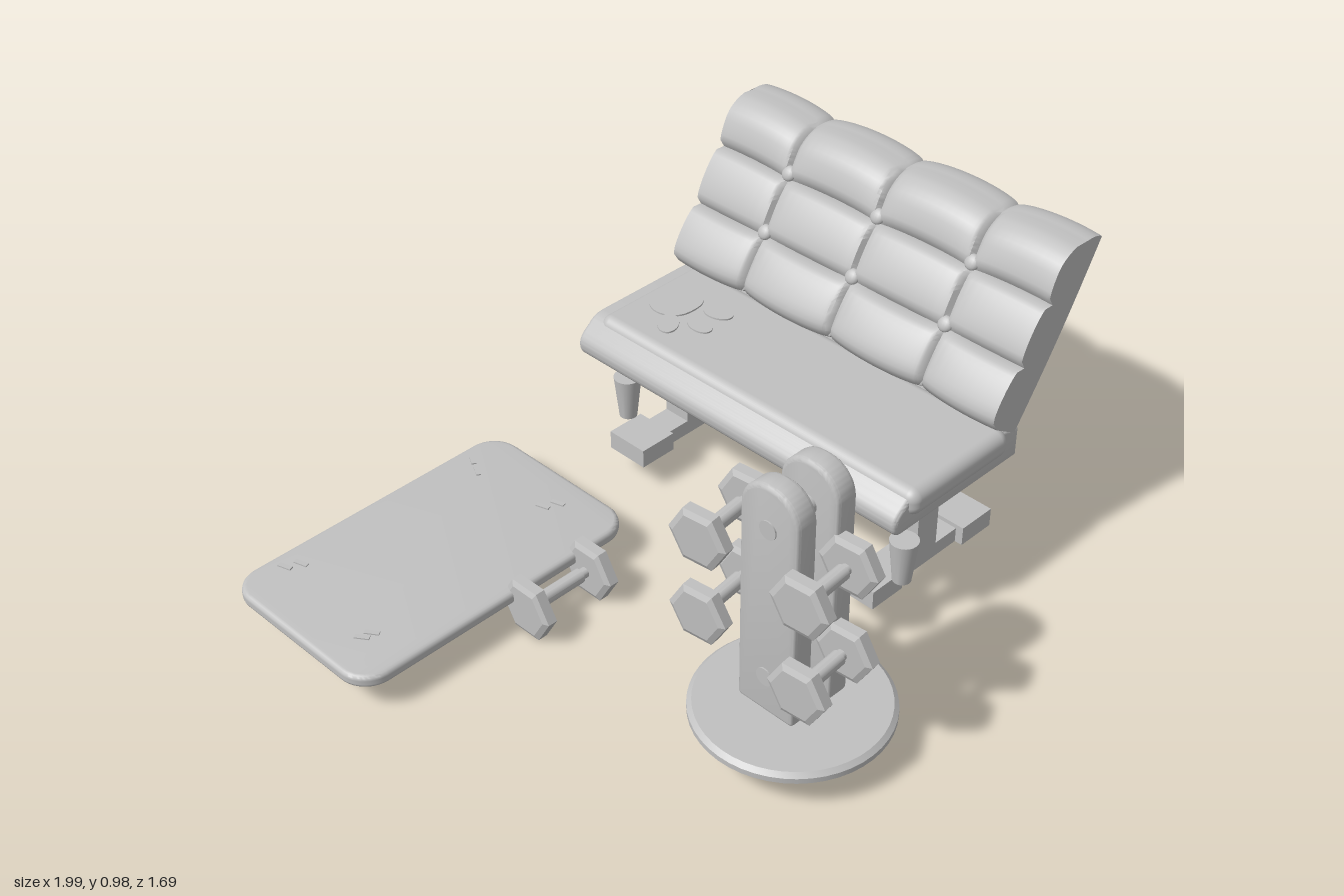
import * as THREE from 'three';
import { toCreasedNormals, mergeVertices } from 'three/addons/utils/BufferGeometryUtils.js';
import { RoundedBoxGeometry } from 'three/addons/geometries/RoundedBoxGeometry.js';

export function createModel() {
  const root = new THREE.Group();
  const grey = new THREE.MeshStandardMaterial({ color: 0xc0c0c0 });
  grey.name = 'plain grey';

  const add = (name, geo, x = 0, y = 0, z = 0, parent = root) => {
    const m = new THREE.Mesh(geo, grey);
    m.name = name;
    m.position.set(x, y, z);
    parent.add(m);
    return m;
  };
  const group = (name) => {
    const g = new THREE.Group();
    g.name = name;
    root.add(g);
    return g;
  };
  const crease = (geo, angle = 0.6) => toCreasedNormals(geo, angle);
  const box = (name, x0, x1, y0, y1, z0, z1, parent) =>
    add(name, new THREE.BoxGeometry(x1 - x0, y1 - y0, z1 - z0), (x0 + x1) / 2, (y0 + y1) / 2, (z0 + z1) / 2, parent);

  // Extrusion with a rounded edge, centred along its depth
  const slab = (shape, depth, bevel) => {
    const g = new THREE.ExtrudeGeometry(shape, {
      depth: depth - 2 * bevel, bevelEnabled: true, bevelThickness: bevel, bevelSize: bevel,
      bevelOffset: -bevel, bevelSegments: 3, curveSegments: 10,
    });
    g.translate(0, 0, -(depth - 2 * bevel) / 2);
    return crease(g, 0.7);
  };
  // Rounded rectangle with separate top and bottom corner radii
  const roundRect = (w, h, top, bottom) => {
    const s = new THREE.Shape(), x = w / 2, y = h / 2;
    s.moveTo(-x + bottom, -y);
    s.lineTo(x - bottom, -y);
    s.absarc(x - bottom, -y + bottom, bottom, -Math.PI / 2, 0);
    s.lineTo(x, y - top);
    s.absarc(x - top, y - top, top, 0, Math.PI / 2);
    s.lineTo(-x + top, y);
    s.absarc(-x + top, y - top, top, Math.PI / 2, Math.PI);
    s.lineTo(-x, -y + bottom);
    s.absarc(-x + bottom, -y + bottom, bottom, Math.PI, Math.PI * 1.5);
    return s;
  };

  // Exercise mat with small raised flecks near its corners
  const mat = group('mat');
  add('matPad', slab(roundRect(0.97, 0.59, 0.09, 0.09), 0.04, 0.014).rotateX(-Math.PI / 2), -0.515, 0.105, -0.553, mat);
  const flecks = [[-0.85, -0.79], [-0.81, -0.77], [-0.17, -0.79], [-0.195, -0.74],
    [-0.17, -0.48], [-0.13, -0.46], [-0.88, -0.41], [-0.85, -0.405]];
  flecks.forEach(([x, z], i) => {
    const f = add('matFleck', new THREE.BoxGeometry(0.014, 0.006, 0.042), x, 0.126, z, mat);
    f.rotation.y = [0.3, -0.5, 0.3, 0.6][i >> 1];
  });

  // Hexagonal dumbbell lying along x
  const dumbbell = (x, y, z, yaw, sep, r) => {
    const g = group('dumbbell');
    g.position.set(x, y, z);
    g.rotation.y = yaw;
    const w = 0.023, c = 0.008;
    const profile = [[0, -w], [r - 0.018, -w], [r, -w + c], [r, w - c], [r - 0.018, w], [0, w]]
      .map((p) => new THREE.Vector2(...p));
    for (const s of [-1, 1]) {
      const head = crease(new THREE.LatheGeometry(profile, 6), 0.2).rotateZ(Math.PI / 2);
      add('weight', head, s * sep / 2, 0, 0, g);
    }
    add('bar', crease(new THREE.CylinderGeometry(0.016, 0.016, sep, 16)).rotateZ(Math.PI / 2), 0, 0, 0, g);
    add('grip', crease(new THREE.CylinderGeometry(0.022, 0.022, sep * 0.62, 16)).rotateZ(Math.PI / 2), 0, 0, 0, g);
  };
  dumbbell(-0.34, 0.083, -0.22, 0, 0.23, 0.095);
  for (const y of [0.63, 0.35]) dumbbell(-0.292, y, 0.703, 0.08, 0.193, 0.09);
  for (const y of [0.645, 0.4]) dumbbell(-0.292, y, 0.364, 0.11, 0.197, 0.09);

  // Rack: round base, two uprights and the rods joining them
  const rack = group('dumbbellRack');
  const disc = [[0, -0.02], [0.262, -0.02], [0.275, -0.008], [0.275, 0.008], [0.262, 0.02], [0, 0.022]]
    .map((p) => new THREE.Vector2(...p));
  add('rackBase', crease(new THREE.LatheGeometry(disc, 48)), -0.245, 0.108, 0.564, rack);
  for (const x of [-0.32, -0.18]) {
    add('upright', slab(roundRect(0.19, 0.72, 0.088, 0.014), 0.07, 0.012).rotateY(Math.PI / 2), x, 0.52, 0.565, rack);
  }
  for (const y of [0.755, 0.28]) {
    add('rod', crease(new THREE.CylinderGeometry(0.027, 0.027, 0.218, 20)).rotateZ(Math.PI / 2), -0.25, y, 0.565, rack);
  }

  // Bench seat: long moulded base with a soft pad on top
  const bench = group('bench');
  const seat = new THREE.Shape();
  seat.moveTo(0.21, 0.375);
  seat.lineTo(0.705, 0.375);
  seat.lineTo(0.705, 0.468);
  seat.quadraticCurveTo(0.68, 0.49, 0.6, 0.492);
  seat.lineTo(0.28, 0.492);
  seat.quadraticCurveTo(0.245, 0.49, 0.225, 0.467);
  seat.quadraticCurveTo(0.185, 0.44, 0.185, 0.415);
  seat.quadraticCurveTo(0.185, 0.38, 0.21, 0.375);
  add('seatBase', slab(seat, 1.22, 0.012), 0, 0, -0.09, bench);
  add('seatPad', new RoundedBoxGeometry(0.41, 0.085, 1.21, 5, 0.035), 0.44, 0.4585, -0.065, bench);

  // Paw emblem lying on the seat
  const paw = new THREE.Shape();
  paw.moveTo(0, -0.066);
  paw.bezierCurveTo(0.06, -0.09, 0.1, -0.03, 0.078, 0.02);
  paw.bezierCurveTo(0.06, 0.06, 0.03, 0.065, 0, 0.065);
  paw.bezierCurveTo(-0.03, 0.065, -0.06, 0.06, -0.078, 0.02);
  paw.bezierCurveTo(-0.1, -0.03, -0.06, -0.09, 0, -0.066);
  add('pawPad', new THREE.ExtrudeGeometry(paw, { depth: 0.005, bevelEnabled: false }).rotateX(Math.PI / 2),
    0.452, 0.506, -0.55, bench);
  for (const [x, z, a] of [[0.35, -0.49, -0.9], [0.41, -0.42, -0.2], [0.492, -0.425, 0.2]]) {
    const toe = add('pawToe', crease(new THREE.CylinderGeometry(1, 1, 0.005, 24)), x, 0.5035, z, bench);
    toe.scale.set(0.032, 1, 0.048);
    toe.rotation.y = a;
  }

  // Tufted backrest: a box reshaped along its slope u and outward normal n
  const U = [0.53, 0.848], N = [-0.848, 0.53], P = [0.69, 0.475];
  const place = (u, n) => [P[0] + U[0] * u + N[0] * n, P[1] + U[1] * u + N[1] * n];
  const back = new THREE.BoxGeometry(1, 1, 1, 6, 36, 122);
  back.deleteAttribute('normal');
  back.deleteAttribute('uv');
  const pos = back.attributes.position;
  for (let i = 0; i < pos.count; i++) {
    const s = 0.5 - pos.getX(i), t = pos.getY(i) + 0.5, z = -0.7 + 1.22 * (pos.getZ(i) + 0.5);
    const b = Math.sqrt(Math.abs(Math.sin(Math.PI * (z + 0.43) / 0.34)));
    const r = Math.sqrt(Math.abs(Math.sin(Math.PI * t * 3)));
    const top = Math.max(0, (t - 0.82) / 0.18), low = Math.max(0, (0.08 - t) / 0.08);
    const thick = (0.105 + 0.045 * Math.sqrt(b * r)) * (1 - 0.32 * top * top - 0.08 * low * low);
    const lo = -0.018 * b, hi = 0.55 + 0.024 * b - 0.03 * s * s;
    const [x, y] = place(lo + t * (hi - lo), s * thick - 0.012 * b * Math.sin(Math.PI * t));
    pos.setXYZ(i, x, y, z);
  }
  add('backrest', crease(mergeVertices(back, 1e-5), 0.8), 0, 0, 0, bench);
  for (const z of [-0.43, -0.09, 0.25]) {
    for (const u of [0.183, 0.367]) {
      const [x, y] = place(u, 0.113);
      const button = add('button', new THREE.SphereGeometry(0.024, 16, 10), x, y, z, bench);
      button.scale.x = 0.6;
      button.rotation.z = Math.atan2(N[1], N[0]);
    }
  }

  // Legs: a post on a crossbar with a block foot at each end
  for (const z of [0.385, -0.513]) {
    box('legPost', 0.405, 0.49, 0.09, 0.38, z - 0.045, z + 0.045, bench);
    box('legCrossbar', 0.3, 0.6, 0.085, 0.132, z - 0.045, z + 0.045, bench);
    box('foot', 0.195, 0.32, 0.085, 0.145, z - 0.07, z + 0.07, bench);
    box('foot', 0.58, 0.705, 0.085, 0.145, z - 0.07, z + 0.07, bench);
  }

  // Tapered cups beside the feet
  for (const [x, z] of [[0.293, 0.472], [0.293, -0.608], [0.655, -0.608]]) {
    add('cup', crease(new THREE.CylinderGeometry(0.042, 0.027, 0.14, 24)), x, 0.215, z, bench);
  }

  return root;
}
